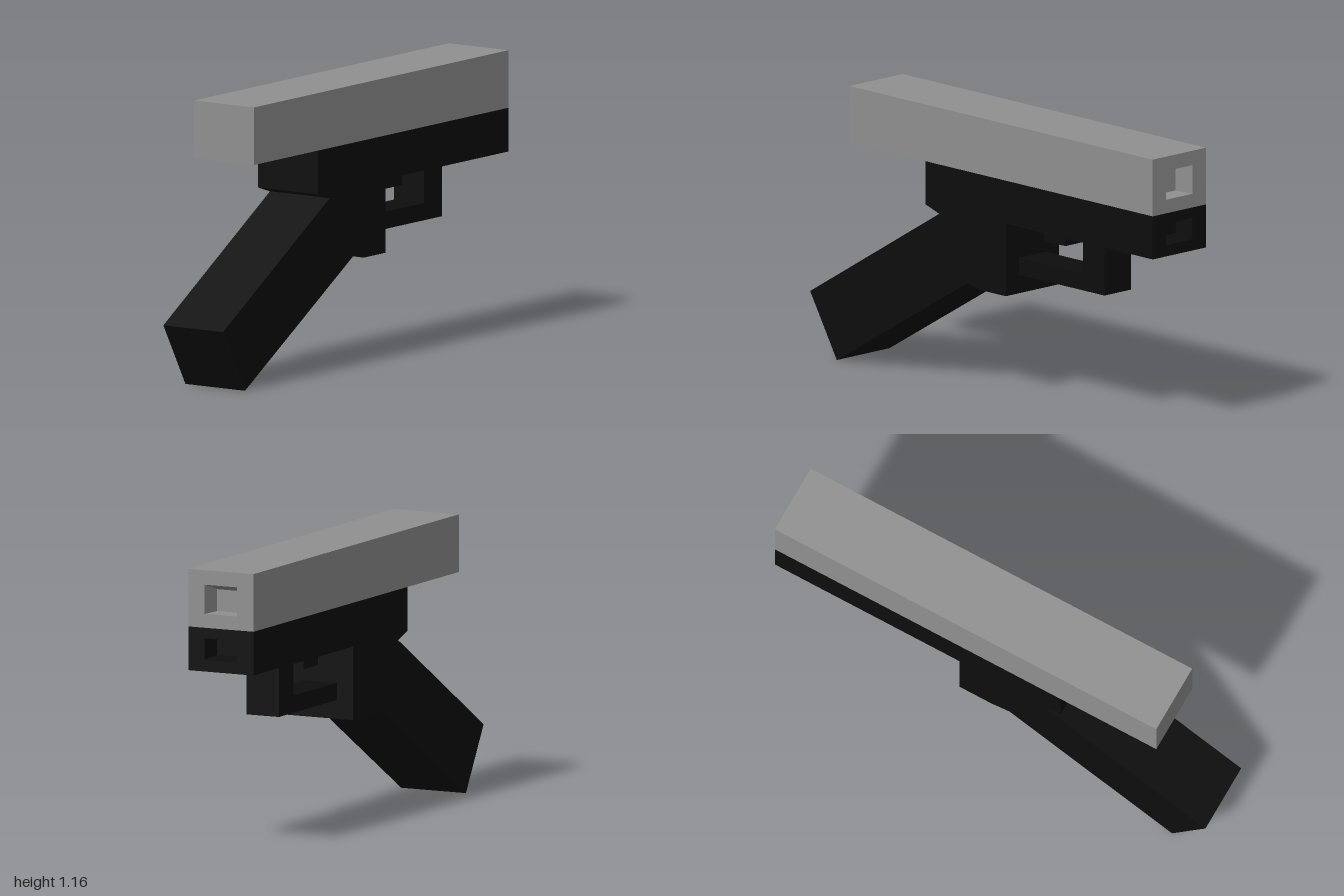
import * as THREE from 'three';

const grey = new THREE.MeshStandardMaterial({ color: 0x909090, flatShading: true });
const black = new THREE.MeshStandardMaterial({ color: 0x0d0d0d, flatShading: true });

// Skin rectangular cross-sections [x, bottom, top, half depth] along x
function loft(sections) {
  const rings = sections.map(([x, y0, y1, h]) => [[x, y0, h], [x, y0, -h], [x, y1, -h], [x, y1, h]]);
  const pos = [];
  for (let i = 0; i < rings.length - 1; i++) {
    for (let j = 0; j < 4; j++) {
      const k = (j + 1) % 4;
      const [a, b, c, d] = [rings[i][j], rings[i][k], rings[i + 1][k], rings[i + 1][j]];
      if (i > 0) pos.push(...a, ...b, ...c); // the first ring is a single point
      if (i < rings.length - 2) pos.push(...a, ...c, ...d); // so is the last
    }
  }
  const g = new THREE.BufferGeometry();
  g.setAttribute('position', new THREE.Float32BufferAttribute(pos, 3));
  g.computeVertexNormals();
  return g;
}

// Closed bar with a tapered rectangular recess in its +x end
function recessedBar(x0, x1, y0, y1, mouth, floor) {
  const mid = (y0 + y1) / 2, end = x1 - 0.09, fm = (floor[0] + floor[1]) / 2;
  return loft([
    [x0, mid, mid, 0], [x0, y0, y1, 0.15], [x1, y0, y1, 0.15],
    [x1, ...mouth, 0.075], [end, ...floor, 0.065], [end, fm, fm, 0],
  ]);
}

// Side outline extruded symmetrically in z
function plate(points, halfDepth) {
  const shape = new THREE.Shape(points.map(([x, y]) => new THREE.Vector2(x, y)));
  const g = new THREE.ExtrudeGeometry(shape, { depth: 2 * halfDepth, bevelEnabled: false });
  return g.translate(0, 0, -halfDepth);
}

export function createModel() {
  const group = new THREE.Group();
  const add = (name, geometry, material) => {
    const mesh = new THREE.Mesh(geometry, material);
    mesh.name = name;
    group.add(mesh);
  };

  // Upper bar and the frame under it, each with a recess in the front end
  add('slide', recessedBar(-0.775, 1, 0.923, 1.16, [0.98, 1.10], [0.98, 1.07]), grey);
  add('frame', recessedBar(-0.33, 1, 0.743, 0.923, [0.79, 0.88], [0.8, 0.88]), black);

  // Block joining frame and handle
  add('gripBlock', plate([
    [-0.33, 0.743], [-0.25, 0.717], [-0.085, 0.455], [-0.01, 0.44], [0.14, 0.44], [0.14, 0.743],
  ], 0.15), black);

  // Slanted handle, drifting very slightly sideways towards its foot
  const grip = plate([[-1, 0.265], [-0.845, 0.003], [-0.085, 0.455], [-0.08, 0.743], [-0.206, 0.743]], 0.149);
  const p = grip.attributes.position;
  for (let i = 0; i < p.count; i++) p.setZ(i, p.getZ(i) - 0.006 * p.getX(i));
  grip.computeVertexNormals();
  add('grip', grip, black);

  // L-shaped guard and the trigger stub inside it
  add('triggerGuard', plate([
    [0.14, 0.517], [0.64, 0.517], [0.64, 0.743], [0.515, 0.743], [0.515, 0.588], [0.14, 0.588],
  ], 0.075), black);
  add('trigger', plate([[0.265, 0.677], [0.39, 0.677], [0.39, 0.743], [0.265, 0.743]], 0.055), black);

  return group;
}
